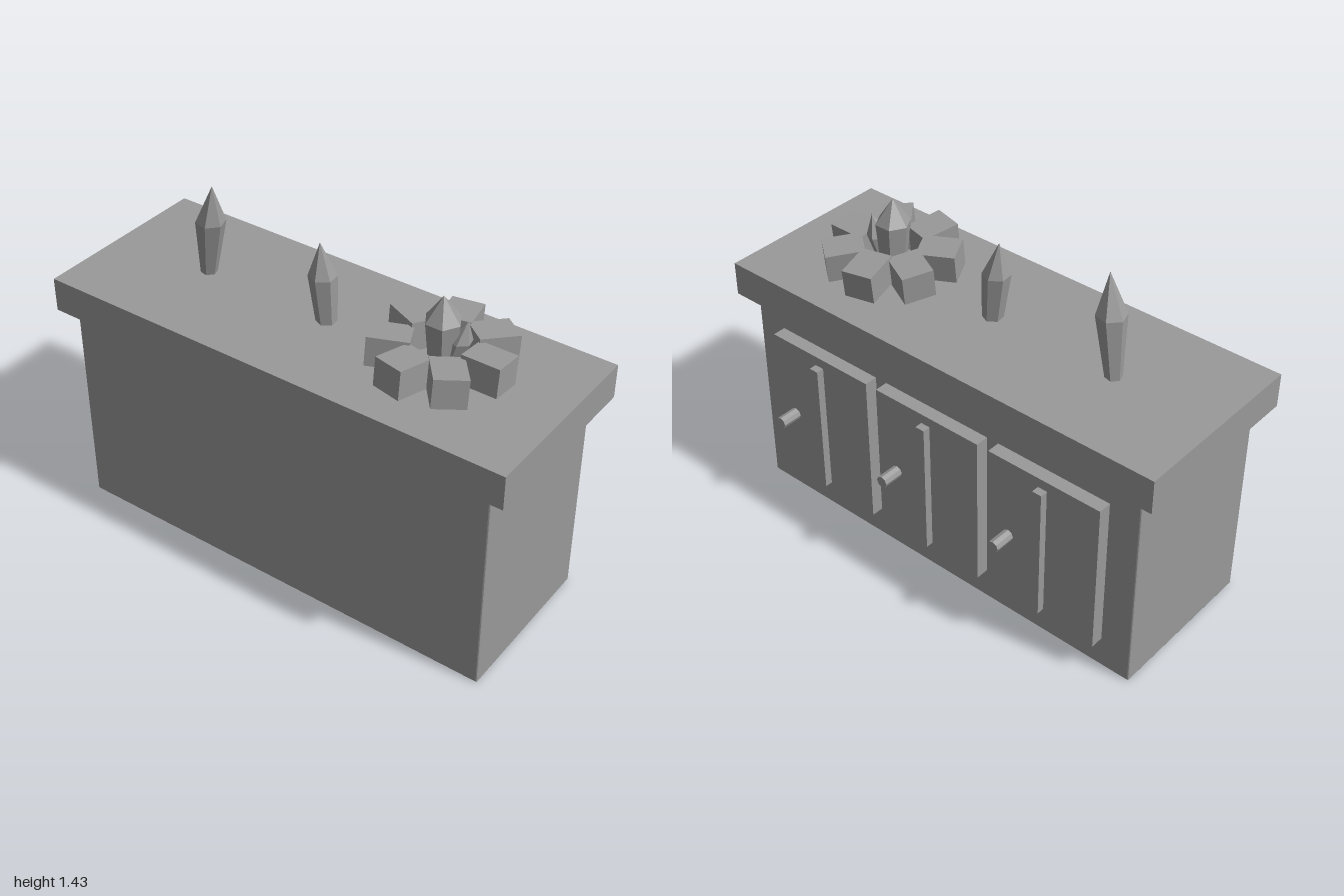
import * as THREE from 'three';
import { RoundedBoxGeometry } from 'three/addons/geometries/RoundedBoxGeometry.js';

const grey = new THREE.MeshStandardMaterial({ color: 0x999999, flatShading: true });
grey.name = 'stone grey';

function add(parent, name, geometry, x = 0, y = 0, z = 0) {
  const mesh = new THREE.Mesh(geometry, grey);
  mesh.name = name;
  mesh.position.set(x, y, z);
  parent.add(mesh);
  return mesh;
}

// Box given by its lower and upper limits
function block(parent, name, [x0, x1], [y0, y1], [z0, z1], bevel = 0) {
  const size = [x1 - x0, y1 - y0, z1 - z0];
  const geometry = bevel ? new RoundedBoxGeometry(...size, 1, bevel) : new THREE.BoxGeometry(...size);
  return add(parent, name, geometry, (x0 + x1) / 2, (y0 + y1) / 2, (z0 + z1) / 2);
}

// Faceted pointed crystal, leaning so that its tip is offset by (leanX, leanZ)
function crystal(parent, name, x, y, z, base, shoulder, shoulderY, height, leanX, leanZ, turn) {
  const profile = [[0, 0], [base, 0], [shoulder, shoulderY], [0, height]].map(p => new THREE.Vector2(...p));
  const geometry = new THREE.LatheGeometry(profile, 6, turn);
  const pos = geometry.attributes.position;
  for (let i = 0; i < pos.count; i++) {
    const t = pos.getY(i) / height;
    pos.setX(i, pos.getX(i) + leanX * t);
    pos.setZ(i, pos.getZ(i) + leanZ * t);
  }
  return add(parent, name, geometry, x, y, z);
}

export function createModel() {
  const model = new THREE.Group();
  model.name = 'counter';

  // Cabinet body and overhanging top
  block(model, 'cabinetBody', [-0.93, 0.93], [0, 0.9], [-0.28, 0.395], 0.006);
  block(model, 'counterTop', [-1, 1], [0.89, 1.03], [-0.327, 0.436]);

  // Three back doors, each with a raised strip and a knob
  for (const x of [-0.55, 0, 0.55]) {
    const door = new THREE.Group();
    door.name = 'door';
    block(door, 'doorPanel', [x - 0.25, x + 0.248], [0.135, 0.79], [-0.335, -0.27]);
    block(door, 'doorStrip', [x - 0.02, x + 0.02], [0.178, 0.75], [-0.367, -0.33]);
    const knob = new THREE.CylinderGeometry(0.024, 0.024, 0.086, 8).rotateX(Math.PI / 2);
    add(door, 'doorKnob', knob, x + 0.14, 0.463, -0.393);
    model.add(door);
  }

  // Standing crystals
  crystal(model, 'tallCrystal', -0.56, 1.02, 0.042, 0.032, 0.059, 0.25, 0.41, 0.06, 0.028, 0.3);
  crystal(model, 'middleCrystal', 0.005, 1.02, 0.05, 0.04, 0.055, 0.2, 0.335, -0.025, 0.005, 0.1);

  // Crystal flower: ring of tilted blocks around a central crystal
  const flower = new THREE.Group();
  flower.name = 'crystalFlower';
  flower.position.set(0.507, 0, 0.053);
  const petals = 7;
  for (let i = 0; i < petals; i++) {
    const angle = (i / petals) * Math.PI * 2;
    const petal = add(flower, 'petal', new THREE.BoxGeometry(0.155, 0.115, 0.126),
      Math.cos(angle) * 0.187, 1.102, -Math.sin(angle) * 0.187);
    petal.rotation.set(-0.1, angle, 0);
  }
  crystal(flower, 'centreCrystal', 0, 1.02, 0, 0.05, 0.07, 0.215, 0.315, 0, 0.006, Math.PI / 6);
  crystal(flower, 'sideCrystal', 0.03, 1.04, -0.005, 0.03, 0.044, 0.125, 0.21, 0.055, -0.018, 0.2);
  model.add(flower);

  return model;
}
